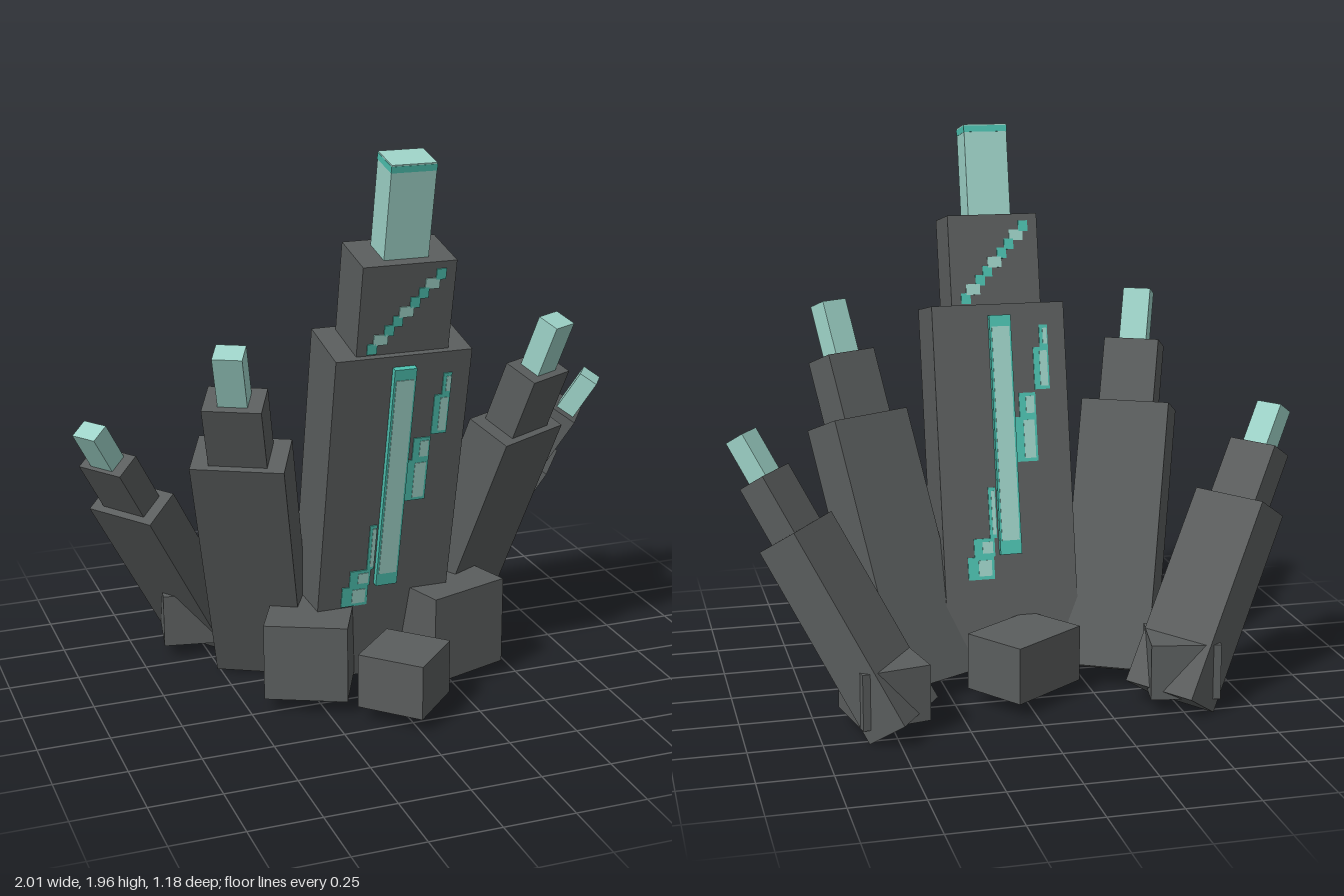
import * as THREE from 'three';

const mat = (name, color) => {
  const m = new THREE.MeshStandardMaterial({ color });
  m.name = name;
  return m;
};

export function createModel() {
  const stone = mat('dark stone', 0x5a5d5d);
  const pale = mat('pale crystal', 0x9dd2c7);
  const teal = mat('teal crystal', 0x4cbfae);
  const model = new THREE.Group();
  model.name = 'crystalCluster';
  const deg = THREE.MathUtils.degToRad;

  // Box centred on x and z of its parent, spanning y0 to y1
  function block(parent, name, material, w, d, y0, y1, x = 0, z = 0, yaw = 0) {
    const mesh = new THREE.Mesh(new THREE.BoxGeometry(w, y1 - y0, d), material);
    mesh.name = name;
    mesh.position.set(x, (y0 + y1) / 2, z);
    mesh.rotation.y = deg(yaw);
    parent.add(mesh);
    return mesh;
  }

  // Leaning pillar: stacked tiers [width, depth, bottom, top], the last is crystal
  function pillar(name, base, yaw, lean, tiers) {
    const g = new THREE.Group();
    g.name = name;
    g.position.set(...base);
    g.rotation.set(deg(lean), deg(yaw), 0, 'YXZ');
    const names = ['lowerStone', 'upperStone', 'crystalTip'];
    tiers.forEach(([w, d, y0, y1], i) => block(g, names[i], i === 2 ? pale : stone, w, d, y0, y1));
    model.add(g);
    return g;
  }

  // Central tower
  const tower = pillar('centralTower', [0, 0.058, 0.012], 0, 12, [
    [0.48, 0.25, 0, 1.28],
    [0.325, 0.205, 1.24, 1.6],
    [0.155, 0.125, 1.56, 1.927],
  ]);
  block(tower, 'tipRim', teal, 0.157, 0.127, 1.9, 1.922);

  // Crystal bar running through the tower
  block(tower, 'crystalBar', teal, 0.078, 0.295, 0.39, 1.24);

  // Glowing cracks and bar inlays, repeated on the back
  const cracks = [
    [-0.155, -0.06, 0.305, 0.385], [-0.13, -0.055, 0.385, 0.45], [-0.07, -0.045, 0.45, 0.63],
    [0.04, 0.12, 0.715, 0.875], [0.06, 0.12, 0.875, 0.96],
    [0.12, 0.175, 0.97, 1.12], [0.145, 0.175, 1.12, 1.2],
  ];
  for (const turn of [0, Math.PI]) {
    const face = new THREE.Group();
    face.name = turn ? 'backInlays' : 'frontInlays';
    face.rotation.y = turn;
    tower.add(face);
    block(face, 'barInlay', pale, 0.064, 0.004, 0.44, 1.2, 0, 0.148);
    cracks.forEach(([x0, x1, y0, y1]) => {
      const w = x1 - x0;
      block(face, 'crack', teal, w, 0.006, y0, y1, (x0 + x1) / 2, 0.126);
      block(face, 'crackGlow', pale, w * 0.5, 0.006, y0 + 0.012, y1 - 0.012, (x0 + x1) / 2 + w * 0.15, 0.128);
    });
    for (let i = 0; i < 9; i++) {
      const y = 1.285 + i * 0.0315;
      const big = i % 3 === 1;
      block(face, 'upperCrack', big ? pale : teal, big ? 0.05 : 0.034, 0.006, y, y + 0.038, -0.11 + i * 0.0275, 0.1035);
    }
  }

  // Side pillars and their rubble, mirrored left and right
  for (const s of [1, -1]) {
    const side = s > 0 ? 'left' : 'right';
    pillar(side + 'InnerPillar', [s * 0.335, 0.041, -0.126], s * 28, 22, [
      [0.32, 0.175, 0, 0.965],
      [0.2, 0.13, 0.92, 1.2],
      [0.1, 0.08, 1.15, 1.395],
    ]);
    pillar(side + 'OuterPillar', [s * 0.466, 0.04, -0.443], s * 56, 32, [
      [0.285, 0.15, 0, 0.73],
      [0.19, 0.1, 0.69, 0.943],
      [0.1, 0.072, 0.9, 1.1],
    ]);
    block(model, side + 'Rubble', stone, 0.24, 0.24, 0.05, 0.245, s * 0.525, -0.393, s * 11);
  }

  // Loose blocks around the foot
  block(model, 'frontBlock', stone, 0.24, 0.24, 0.05, 0.245, 0, 0.415, 45);
  block(model, 'frontLeftBlock', stone, 0.315, 0.3, 0.05, 0.37, 0.249, 0.15, 18);
  block(model, 'frontRightBlock', stone, 0.29, 0.28, 0.05, 0.325, -0.263, 0.181, -25);
  block(model, 'backBlock', stone, 0.32, 0.24, 0.05, 0.25, 0, -0.235, 35);

  return model;
}
